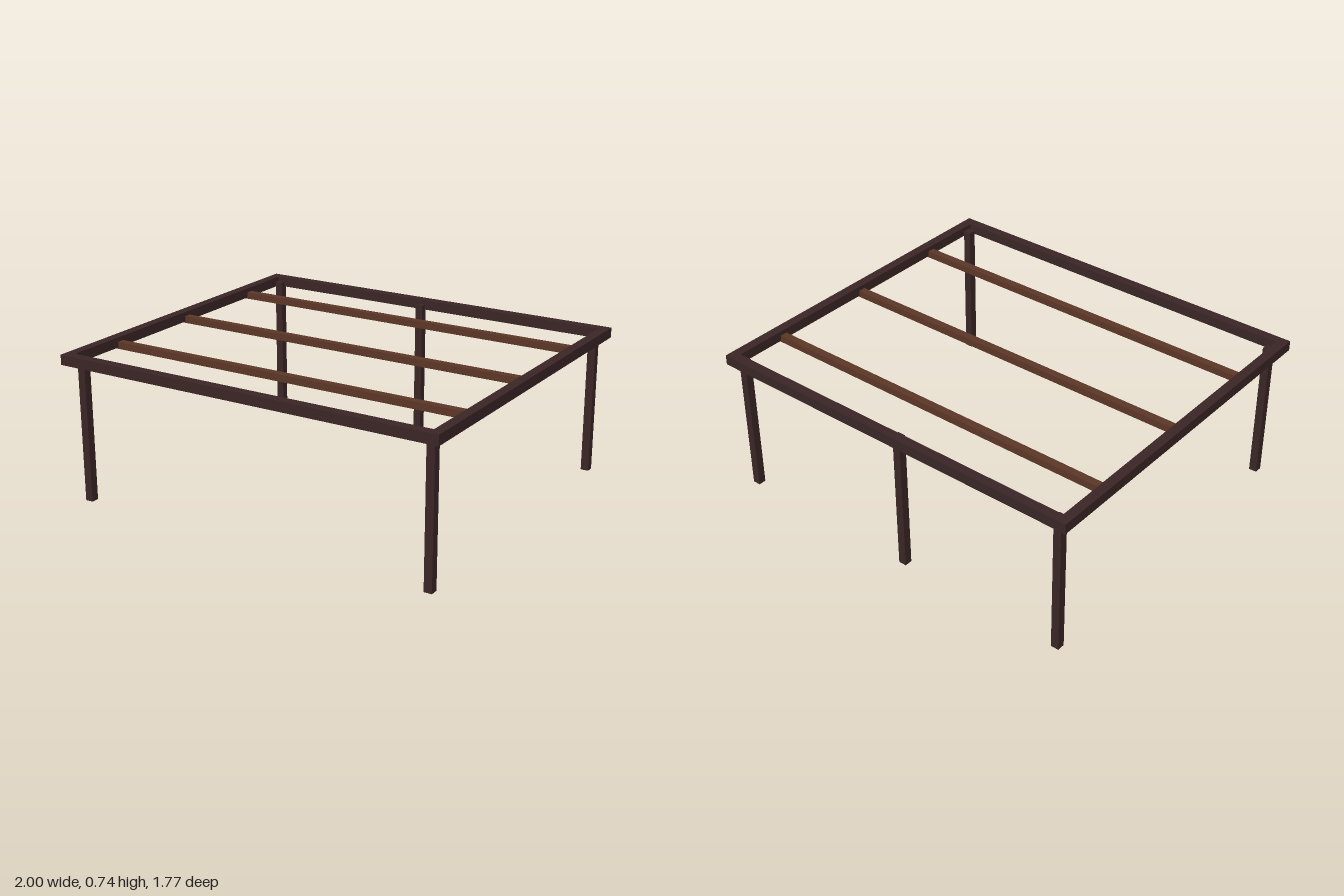
import * as THREE from 'three';

export function createModel() {
  const group = new THREE.Group();
  const dark = new THREE.MeshStandardMaterial({ color: 0x3a2525 });
  const brown = new THREE.MeshStandardMaterial({ color: 0x5a3627 });

  // box given by its minimum and maximum along each axis
  function bar(name, [x0, x1], [y0, y1], [z0, z1], material) {
    const mesh = new THREE.Mesh(new THREE.BoxGeometry(x1 - x0, y1 - y0, z1 - z0), material);
    mesh.position.set((x0 + x1) / 2, (y0 + y1) / 2, (z0 + z1) / 2);
    mesh.name = name;
    group.add(mesh);
  }

  // outer frame
  const railY = [0.694, 0.744];
  bar('frontRail', [-1, 1], railY, [0.838, 0.886], dark);
  bar('backRail', [-1, 1], railY, [-0.886, -0.838], dark);
  bar('leftRail', [0.952, 1], railY, [-0.838, 0.838], dark);
  bar('rightRail', [-1, -0.952], railY, [-0.838, 0.838], dark);

  // cross slats, set slightly below the frame
  for (const z of [-0.56, -0.013, 0.514]) {
    bar('slat', [-0.985, 0.975], [0.687, 0.722], [z - 0.019, z + 0.019], brown);
  }

  // corner legs inside the frame, plus a middle leg at the back
  const legY = [0, 0.72];
  const frontZ = [0.786, 0.826];
  const backZ = [-0.849, -0.81];
  for (const x of [-0.932, 0.932]) {
    bar('frontLeg', [x - 0.02, x + 0.02], legY, frontZ, dark);
    bar('backLeg', [x - 0.02, x + 0.02], legY, backZ, dark);
  }
  bar('middleBackLeg', [-0.064, -0.024], legY, backZ, dark);

  return group;
}
